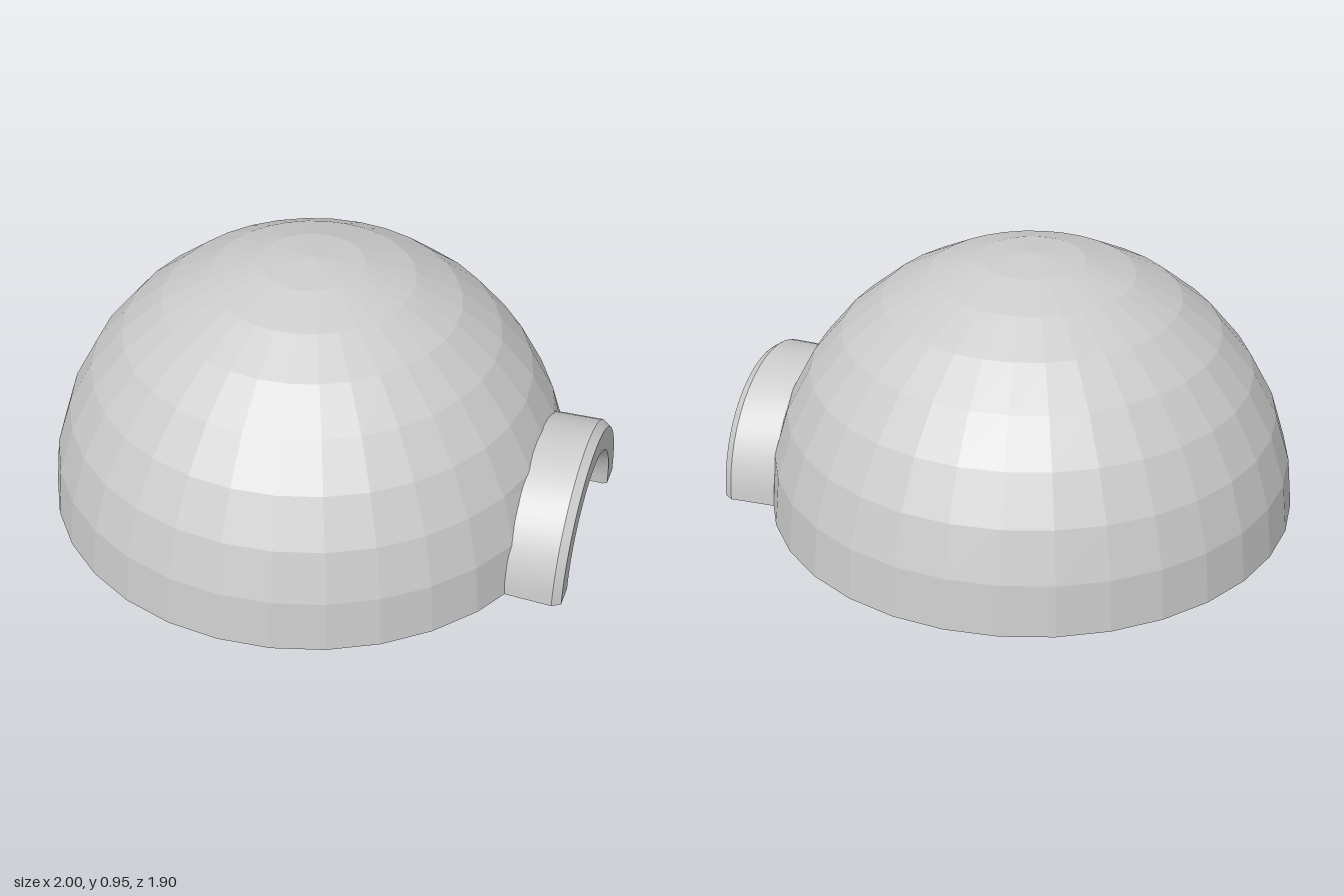
import * as THREE from 'three';
import { toCreasedNormals } from 'three/addons/utils/BufferGeometryUtils.js';

const STEP = Math.PI / 16; // facet angle: 32 sides, 8 rows
const CX = -0.05, OUTER = 0.95, INNER = 0.93, HOLE = 0.31;

export function createModel() {
  const group = new THREE.Group();
  const material = new THREE.MeshStandardMaterial({ color: 0xcccccc });
  const flat = new THREE.MeshStandardMaterial({ color: 0xcccccc, flatShading: true });
  const add = (geometry, name, mat = material) => {
    const mesh = new THREE.Mesh(geometry, mat);
    mesh.name = name;
    group.add(mesh);
  };

  const fromQuads = (build) => {
    const pos = [];
    const tri = (...pts) => pts.forEach((p) => pos.push(...p));
    build((a, b, c, d, flip) => {
      if (flip) [b, d] = [d, b];
      tri(a, b, c);
      tri(a, c, d);
    });
    const g = new THREE.BufferGeometry();
    g.setAttribute('position', new THREE.Float32BufferAttribute(pos, 3));
    g.computeVertexNormals();
    return g;
  };

  // Point on a shell: column counts from +x towards -z, row from the ground up
  const point = (r, col, row) => {
    const h = r * Math.cos(row * STEP);
    return [CX + h * Math.cos(col * STEP), r * Math.sin(row * STEP), -h * Math.sin(col * STEP)];
  };
  // Point on the round doorway edge, k from the -z foot (0) to the +z foot (8)
  const doorway = (r, k) => {
    const a = k * Math.PI / 8;
    return [CX + Math.sqrt(r * r - HOLE * HOLE), HOLE * Math.sin(a), -HOLE * Math.cos(a)];
  };
  // Grid corners around the removed facets, in the same order as doorway()
  const frame = [[2, 0], [2, 1], [2, 2], [1, 2], [0, 2], [-1, 2], [-2, 2], [-2, 1], [-2, 0]];

  // Faceted shell with a doorway
  const shell = (r, inside) => fromQuads((quad) => {
    for (let col = -16; col < 16; col++) {
      for (let row = 0; row < 8; row++) {
        if (col >= -2 && col < 2 && row < 2) continue;
        quad(point(r, col, row), point(r, col + 1, row),
          point(r, col + 1, row + 1), point(r, col, row + 1), inside);
      }
    }
    for (let k = 0; k < 8; k++) {
      quad(doorway(r, k), point(r, ...frame[k]),
        point(r, ...frame[k + 1]), doorway(r, k + 1), inside);
    }
  });
  add(shell(OUTER, false), 'domeOutside', flat);
  add(shell(INNER, true), 'domeInside', flat);

  // Bottom edge and doorway edge closing the wall thickness
  add(fromQuads((quad) => {
    for (let col = 2; col < 30; col++) {
      quad(point(OUTER, col, 0), point(INNER, col, 0),
        point(INNER, col + 1, 0), point(OUTER, col + 1, 0));
    }
    for (const k of [0, 8]) {
      quad(point(OUTER, ...frame[k]), doorway(OUTER, k),
        doorway(INNER, k), point(INNER, ...frame[k]), k === 0);
    }
    for (let k = 0; k < 8; k++) {
      quad(doorway(OUTER, k), doorway(OUTER, k + 1), doorway(INNER, k + 1), doorway(INNER, k));
    }
  }), 'domeEdge', new THREE.MeshStandardMaterial({ color: 0xcccccc, side: THREE.DoubleSide }));

  // Entrance arch: (radius, x) section turned through half a circle
  const section = [[0.41, 0.8], [0.415, 0.97], [0.395, 1], [0.31, 1], [0.3, 0.985], [0.3, 0.8], [0.41, 0.8]]
    .map(([r, x]) => new THREE.Vector2(r, x));
  const arch = new THREE.LatheGeometry(section, 24, Math.PI, Math.PI).rotateZ(-Math.PI / 2);
  add(toCreasedNormals(arch, 0.6), 'entranceArch');

  // Undersides of the arch feet
  for (const side of [1, -1]) {
    const foot = new THREE.Shape(section.slice(0, -1).map((p) => new THREE.Vector2(p.y, side * p.x)));
    add(new THREE.ShapeGeometry(foot).rotateX(Math.PI / 2), side > 0 ? 'frontArchFoot' : 'backArchFoot');
  }
  return group;
}
